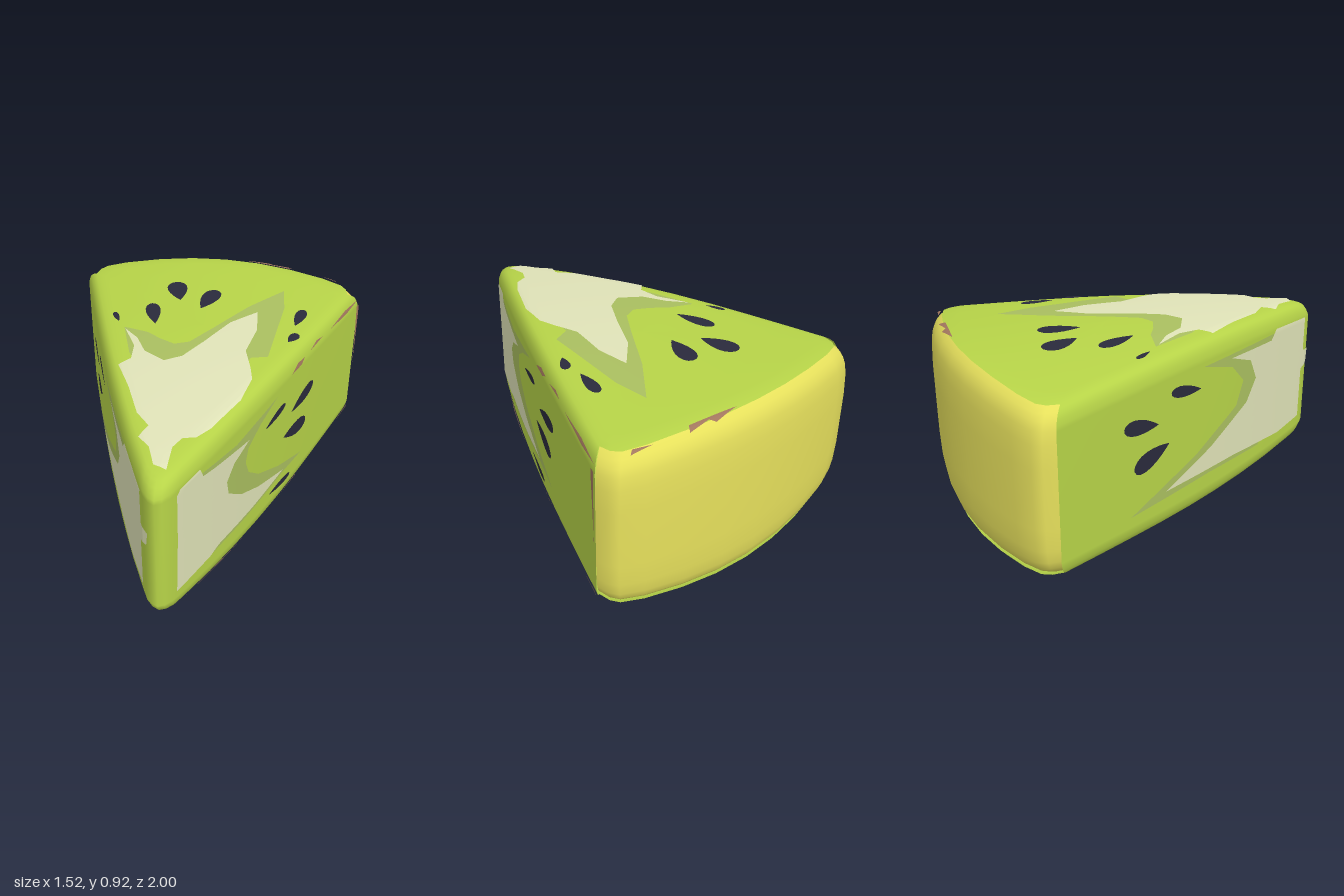
import * as THREE from 'three';

const mat = (name, color, side = THREE.DoubleSide) => {
  const m = new THREE.MeshStandardMaterial({ color, side });
  m.name = name;
  return m;
};

// Plan outline of the wedge, right half from the tip round to the middle of the rind; the sides bow out slightly
const half = [[0, 1], [0.03, 0.985], [0.06, 0.95], [0.09, 0.89]];
for (let i = 1; i <= 8; i++) {
  const t = i / 8;
  half.push([0.09 + 0.665 * t + 0.028 * Math.sin(Math.PI * t ** 0.8), 0.89 - 1.66 * t]);
}
half.push([0.742, -0.83], [0.71, -0.87], [0.6, -0.913], [0.4, -0.96], [0.2, -0.99], [0, -1]);
const outline = [...half, ...half.slice(1, -1).reverse().map(([x, z]) => [-x, z])];
const CZ = -0.2, MID = 0.4525;

// Edge rounding: plan scale against share of the half height
const profile = [[1, 0.78], [0.995, 0.83], [0.985, 0.88], [0.97, 0.93], [0.945, 0.965], [0.92, 0.982],
  [0.88, 0.995], [0.82, 1], [0.65, 1], [0.45, 1], [0.22, 1], [0, 1]];
// The rind bulges more and tucks in under the flesh
const rindProfile = [[1, 0.35], [0.994, 0.62], [0.984, 0.77], [0.968, 0.86], [0.945, 0.92], [0.92, 0.96], [0.9, 0.985]];

// Gently domed half height at a plan position
const dome = (x, z) => MID - 0.09 * x * x - 0.055 * Math.max(0, (z + 0.2) / 1.1) ** 2;

// How far out a plan position lies: 0 in the centre, 1 on the outline
function planScale(x, z) {
  let s = 0;
  outline.forEach(([ax, az], i) => {
    const [bx, bz] = outline[(i + 1) % outline.length];
    const nx = az - bz, nz = bx - ax;
    s = Math.max(s, (nx * x + nz * (z - CZ)) / (nx * ax + nz * (az - CZ)));
  });
  return s;
}

function heightAt(x, z) {
  const s = planScale(x, z);
  if (s > 1.0001) return -1;
  for (let i = 1; i < profile.length; i++) {
    const [s0, f0] = profile[i - 1], [s1, f1] = profile[i];
    if (s >= s1) return dome(x, z) * (f1 + (f0 - f1) * Math.min(1, (s - s1) / (s0 - s1)));
  }
  return dome(x, z);
}

// Places flat face coordinates on the body surface, lifted a little
const faces = {
  top: (x, z, lift) => [x, MID + Math.max(0.3, heightAt(x, z)) + lift, z],
  bottom: (x, z, lift) => [x, MID - Math.max(0.3, heightAt(x, z)) - lift, z],
  left: (z, y, lift) => {
    let a = 0, b = 0.9;
    for (let i = 0; i < 22; i++) {
      const m = (a + b) / 2;
      if (heightAt(m, z) >= Math.abs(y - MID)) a = m; else b = m;
    }
    return [a + lift, y, z];
  },
};
faces.right = (z, y, lift) => {
  const p = faces.left(z, y, lift);
  return [-p[0], p[1], p[2]];
};

// Thin painted patch: a subdivided shape wrapped onto a face
function patch(points, face, lift, levels) {
  const flat = new THREE.ShapeGeometry(new THREE.Shape(points.map(p => new THREE.Vector2(...p))));
  const pos = flat.attributes.position;
  const verts = [], index = [], seen = new Map();
  const add = (a, b) => {
    const key = a.toFixed(5) + ',' + b.toFixed(5);
    if (!seen.has(key)) {
      seen.set(key, verts.length / 3);
      verts.push(...faces[face](a, b, lift));
    }
    return seen.get(key);
  };
  // Keep the winding facing outwards on every face
  const flip = face === 'top' || face === 'left';
  const mid = (p, q) => [(p[0] + q[0]) / 2, (p[1] + q[1]) / 2];
  const split = (p, q, r, n) => {
    if (!n) { index.push(add(...p), add(...(flip ? r : q)), add(...(flip ? q : r))); return; }
    const a = mid(p, q), b = mid(q, r), c = mid(r, p);
    split(p, a, c, n - 1); split(a, q, b, n - 1); split(c, b, r, n - 1); split(a, b, c, n - 1);
  };
  const at = i => [pos.getX(i), pos.getY(i)];
  const ix = flat.index.array;
  for (let i = 0; i < ix.length; i += 3) split(at(ix[i]), at(ix[i + 1]), at(ix[i + 2]), levels);
  return surface(verts, index);
}

function surface(verts, index) {
  const g = new THREE.BufferGeometry();
  g.setAttribute('position', new THREE.Float32BufferAttribute(verts, 3));
  g.setIndex(index);
  g.computeVertexNormals();
  return g;
}

// Stacked scaled outlines from bottom to top, skipping quads that are not kept
function shell(sections, keep) {
  const rows = [...sections.map(([s, f]) => [s, -f]).reverse(), ...sections];
  const n = outline.length, verts = [], index = [];
  rows.forEach(([s, f]) => outline.forEach(([ox, oz]) => {
    const x = ox * s, z = CZ + (oz - CZ) * s;
    verts.push(x, MID + f * dome(x, z), z);
  }));
  for (let j = 0; j < rows.length - 1; j++) {
    for (let i = 0; i < n; i++) {
      const k = (i + 1) % n, a = j * n + i, b = j * n + k;
      const atBack = Math.max(outline[i][1], outline[k][1]) < -0.76;
      if (keep(atBack, Math.min(rows[j][0], rows[j + 1][0]), rows[j][1] < 0)) index.push(a, b, b + n, a, b + n, a + n);
    }
  }
  return surface(verts, index);
}

// Teardrop from its tip to its round end
function teardrop([tx, ty, ex, ey, w]) {
  const dx = ex - tx, dy = ey - ty, len = Math.hypot(dx, dy), pts = [];
  for (let i = 0; i < 18; i++) {
    const a = i / 18 * Math.PI * 2;
    const u = (1 - Math.cos(a)) / 2, v = Math.sin(a) * Math.sqrt(u) * w * 0.62;
    pts.push([tx + dx * u - dy / len * v, ty + dy * u + dx / len * v]);
  }
  return pts;
}

// Pale heart and its fringe on each cut face; caps use x,z and sides use z,y
const capPale = [[-0.38, -0.11], [-0.3, -0.03], [-0.24, 0.08], [-0.13, 0.15], [-0.05, 0.1], [0.03, -0.04], [0.13, -0.24],
  [0.25, -0.37], [0.27, -0.2], [0.24, 0], [0.28, 0.13], [0.3, 0.22], [0.27, 0.38], [0.17, 0.6], [0.12, 0.67], [0.06, 0.69],
  [0.03, 0.75], [0.03, 0.88], [-0.03, 0.86], [-0.07, 0.76], [-0.13, 0.7], [-0.1, 0.63], [-0.17, 0.55], [-0.25, 0.37],
  [-0.34, 0.2], [-0.29, 0.15], [-0.3, 0.04]];
const capFringe = [[-0.39, -0.13], [-0.26, -0.09], [-0.19, -0.04], [-0.11, 0], [-0.04, -0.03], [0.05, -0.17], [0.2, -0.42],
  [0.36, -0.63], [0.38, -0.45], [0.35, 0.02], [0.27, 0.05], [0.24, 0.2], [-0.24, 0.2], [-0.31, 0.1]];
const leftPale = [[0.93, 0.19], [0.92, 0.5], [0.92, 0.75], [0.9, 0.77], [0.77, 0.78], [0.75, 0.73], [0.63, 0.71], [0.4, 0.68],
  [0.52, 0.63], [0.575, 0.56], [0.56, 0.48], [0.45, 0.39], [0.3, 0.32], [0.05, 0.24], [0.35, 0.22], [0.63, 0.22], [0.7, 0.2]];
const leftFringe = [[0.78, 0.75], [0.5, 0.72], [0.15, 0.76], [0.3, 0.7], [0.4, 0.63], [0.42, 0.56], [0.39, 0.48], [0.3, 0.4],
  [0.1, 0.3], [-0.15, 0.21], [0.05, 0.22], [0.4, 0.2], [0.8, 0.2]];
const rightPale = [[0.92, 0.2], [0.92, 0.48], [0.975, 0.5], [0.985, 0.575], [0.93, 0.585], [0.93, 0.77], [0.66, 0.79],
  [0.62, 0.74], [0.3, 0.75], [0.45, 0.69], [0.5, 0.58], [0.43, 0.47], [0.16, 0.33], [-0.15, 0.22], [0.35, 0.21], [0.73, 0.18]];
const rightFringe = [[0.66, 0.77], [0.1, 0.77], [0.31, 0.7], [0.4, 0.6], [0.35, 0.48], [0.06, 0.33], [-0.37, 0.18], [0.16, 0.19],
  [0.55, 0.18], [0.73, 0.4]];

const capSeeds = [[-0.16, -0.42, -0.22, -0.61, 0.11], [-0.04, -0.35, 0.01, -0.55, 0.1], [-0.24, -0.17, -0.3, -0.37, 0.08],
  [0.45, -0.29, 0.48, -0.46, 0.06], [0.43, -0.13, 0.47, -0.22, 0.05], [-0.43, -0.18, -0.475, -0.27, 0.03]];
const cuts = {
  top: { pale: capPale, fringe: capFringe, seeds: capSeeds },
  bottom: { pale: capPale, fringe: capFringe, seeds: capSeeds },
  left: { pale: leftPale, fringe: leftFringe, seeds: [[0.26, 0.64, 0.07, 0.67, 0.045], [0, 0.57, -0.23, 0.61, 0.08],
    [0.07, 0.46, -0.17, 0.41, 0.09], [0.19, 0.175, -0.03, 0.155, 0.04]] },
  right: { pale: rightPale, fringe: rightFringe, seeds: [[-0.2, 0.59, -0.41, 0.64, 0.08], [0.08, 0.67, -0.12, 0.715, 0.06],
    [-0.13, 0.47, -0.35, 0.41, 0.1]] },
};

// Brown scraps of torn skin along the edges
const scraps = [
  ['left', [[0.02, 0.805], [-0.05, 0.83], [-0.12, 0.825], [-0.08, 0.805]]],
  ['left', [[-0.18, 0.825], [-0.26, 0.84], [-0.32, 0.828]]],
  ['left', [[-0.4, 0.82], [-0.6, 0.826], [-0.76, 0.81], [-0.62, 0.805]]],
  ['left', [[-0.735, 0.78], [-0.765, 0.78], [-0.765, 0.4], [-0.755, 0.55]]],
  ['left', [[0.85, 0.085], [0.6, 0.07], [0.4, 0.07], [0.65, 0.09]]],
  ['left', [[0.1, 0.07], [-0.1, 0.085], [-0.14, 0.07]]],
  ['left', [[-0.6, 0.09], [-0.76, 0.12], [-0.76, 0.09]]],
  ['top', [[0.12, -0.925], [0.25, -0.94], [0.27, -0.915], [0.38, -0.92], [0.36, -0.89]]],
  ['top', [[0.54, -0.875], [0.64, -0.855], [0.62, -0.84]]],
];

export function createModel() {
  const group = new THREE.Group();
  const flesh = mat('lime flesh', 0xb7d448);
  const rind = mat('yellow rind', 0xe6e05c, THREE.FrontSide);
  const pale = mat('pale heart', 0xe0e3b8);
  const fringe = mat('dull green fringe', 0xaabf60);
  const dark = mat('dark seed', 0x2a2a3c);
  const brown = mat('brown skin', 0xa2775e);
  const add = (name, geometry, material) => {
    const mesh = new THREE.Mesh(geometry, material);
    mesh.name = name;
    group.add(mesh);
  };

  // Flesh with a thin lip over the rind, a little longer underneath
  add('flesh', shell(profile, (atBack, s, below) => !atBack || s < (below ? 0.93 : 0.91)), flesh);
  add('rind', shell(rindProfile, atBack => atBack), rind);

  // Painted details on the four cut faces
  for (const [face, cut] of Object.entries(cuts)) {
    add(face + 'Fringe', patch(cut.fringe, face, 0.004, 4), fringe);
    add(face + 'Heart', patch(cut.pale, face, 0.007, 4), pale);
    cut.seeds.forEach((s, i) => add(face + 'Seed' + (i + 1), patch(teardrop(s), face, 0.007, 2), dark));
  }
  scraps.forEach(([face, pts], i) => add('skinScrap' + (i + 1), patch(pts, face, 0.008, 3), brown));
  return group;
}
